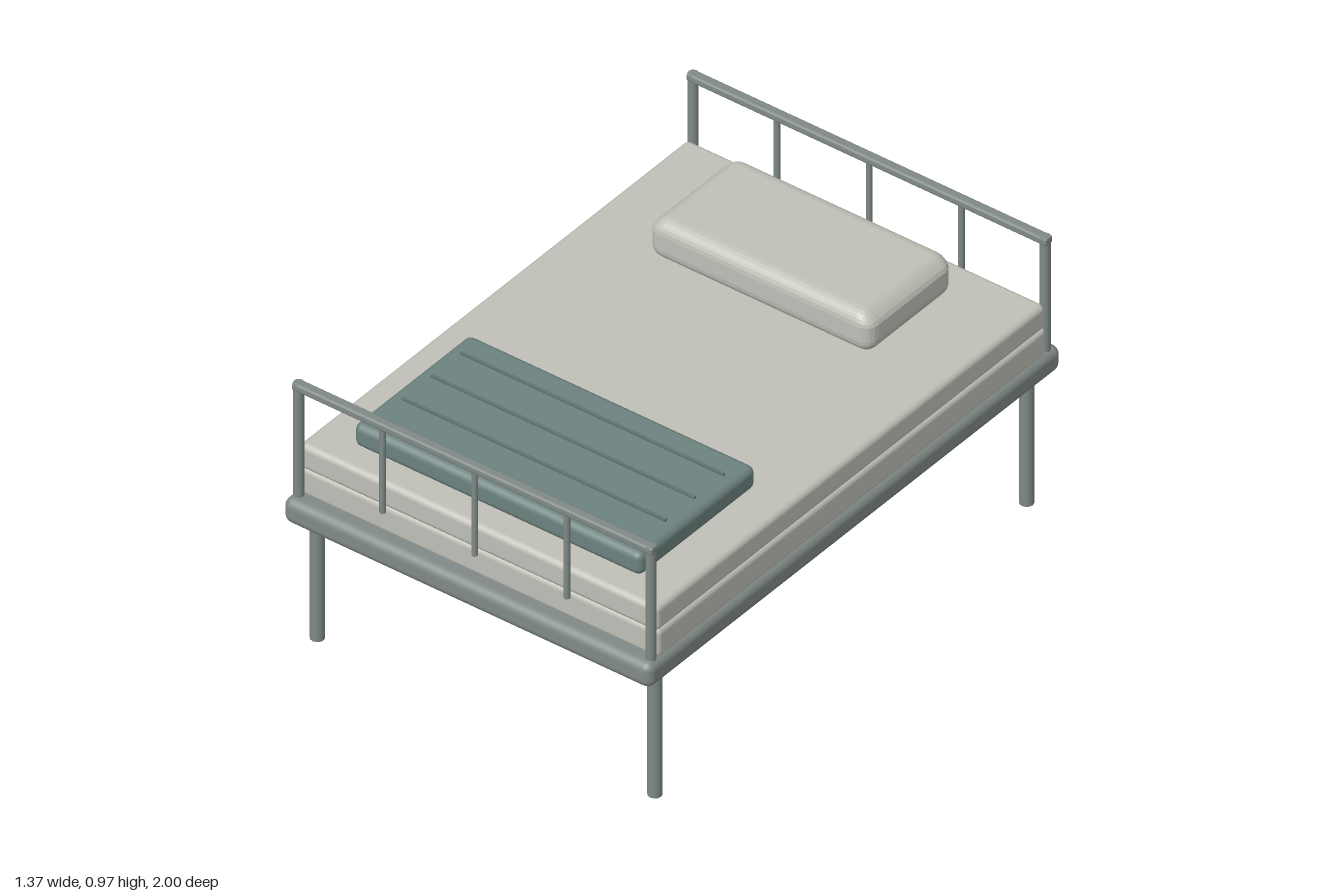
import * as THREE from 'three';
import { RoundedBoxGeometry } from 'three/addons/geometries/RoundedBoxGeometry.js';

export function createModel() {
  const bed = new THREE.Group();
  bed.name = 'bed';
  const metal = new THREE.MeshStandardMaterial({ color: 0x808a87 });
  const linen = new THREE.MeshStandardMaterial({ color: 0xc0c0b8 });
  const wool = new THREE.MeshStandardMaterial({ color: 0x6d827f });
  const seam = new THREE.MeshStandardMaterial({ color: 0x60746f });

  const add = (name, geometry, material, x, y, z, parent = bed) => {
    const mesh = new THREE.Mesh(geometry, material);
    mesh.name = name;
    mesh.position.set(x, y, z);
    parent.add(mesh);
    return mesh;
  };
  // Rounded slab given its size, height range and z centre
  const slab = (name, material, width, y0, y1, depth, z, radius) =>
    add(name, new RoundedBoxGeometry(width, y1 - y0, depth, 3, radius), material, 0, (y0 + y1) / 2, z);
  // Upright round bar
  const bar = (name, radius, y0, y1, x, z, parent) =>
    add(name, new THREE.CylinderGeometry(radius, radius, y1 - y0, 12), metal, x, (y0 + y1) / 2, z, parent);

  // Base and the two mattress layers
  slab('frame', metal, 1.37, 0.46, 0.55, 2, 0, 0.03);
  slab('lowerMattress', linen, 1.345, 0.54, 0.645, 1.885, 0, 0.02);
  slab('upperMattress', linen, 1.335, 0.635, 0.727, 1.885, 0, 0.02);

  // Legs
  for (const x of [-0.628, 0.628])
    for (const z of [-0.9, 0.9]) bar('leg', 0.023, 0, 0.48, x, z);

  // Matching rails at head and foot
  for (const [name, z] of [['headRail', -0.955], ['footRail', 0.955]]) {
    const rail = new THREE.Group();
    rail.name = name;
    bed.add(rail);
    for (const x of [-0.655, 0.655]) bar('post', 0.0165, 0.53, 0.965, x, z, rail);
    add('topRail', new RoundedBoxGeometry(1.342, 0.027, 0.035, 2, 0.008), metal, 0, 0.9525, z, rail);
    for (const x of [-0.343, 0, 0.343]) bar('spindle', 0.01, 0.628, 0.94, x, z, rail);
  }

  // Pillow, narrowing a little towards its top
  const pillow = slab('pillow', linen, 0.83, 0.722, 0.865, 0.415, -0.622, 0.045);
  const p = pillow.geometry.attributes.position;
  for (let i = 0; i < p.count; i++) {
    const t = THREE.MathUtils.smoothstep(p.getY(i), 0.02, 0.0715);
    p.setX(i, p.getX(i) * (1 - 0.035 * t));
  }
  pillow.geometry.computeVertexNormals();

  // Folded blanket with raised seams
  slab('blanket', wool, 1.07, 0.722, 0.805, 0.565, 0.568, 0.025);
  for (const z of [0.385, 0.527, 0.667, 0.785])
    add('blanketSeam', new THREE.BoxGeometry(0.98, 0.014, 0.01), seam, 0, 0.805, z);

  return bed;
}
